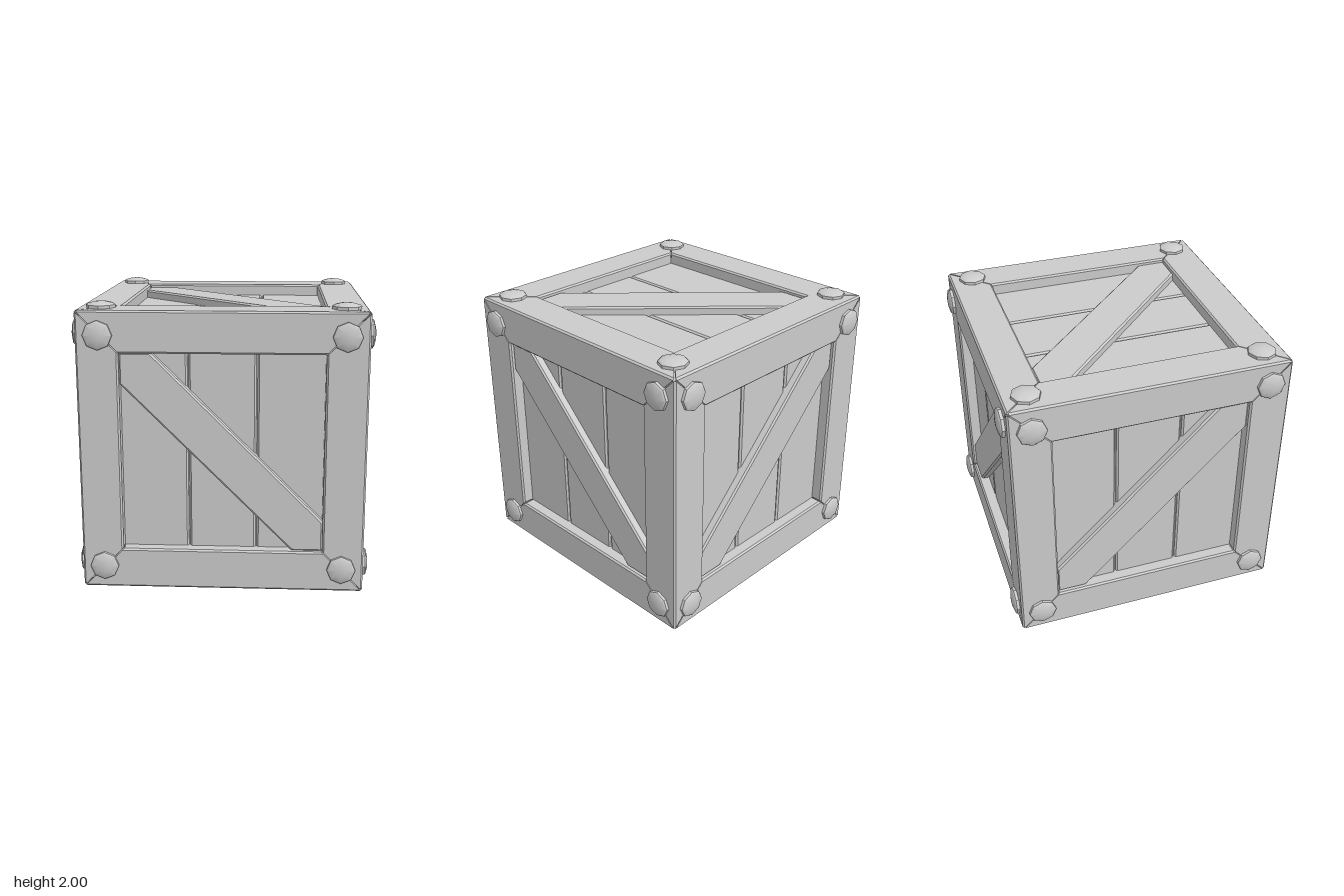
import * as THREE from 'three';
import { toCreasedNormals } from 'three/addons/utils/BufferGeometryUtils.js';

const H = 0.957;      // half size of the crate over its frame
const INNER = 0.677;  // half size of the opening in each face
const PANEL = 0.873;  // distance of the planks from the centre
const CORE = 0.853;   // bottom of the grooves between planks
const B = 0.012;      // edge chamfer

const material = new THREE.MeshStandardMaterial({ color: 0xcccccc });

function add(parent, name, geometry) {
  const mesh = new THREE.Mesh(geometry, material);
  mesh.name = name;
  parent.add(mesh);
  return mesh;
}

const outline = (points) => new THREE.Shape(points.map(([x, y]) => new THREE.Vector2(x, y)));

// Flat board with chamfered edges, lying between two heights in z
function board(points, z0, z1) {
  const g = new THREE.ExtrudeGeometry(outline(points), {
    depth: z1 - z0 - 2 * B, bevelEnabled: true, bevelSegments: 1,
    bevelSize: B, bevelThickness: B, bevelOffset: -B,
  });
  return g.translate(0, 0, z0 + B);
}

// L-shaped edge beam along z, with both ends cut to a three-way mitre
function beamGeometry() {
  const d = CORE - 0.01;
  const g = new THREE.ExtrudeGeometry(outline([
    [INNER, d], [d, d], [d, INNER], [H - B, INNER], [H, INNER + B],
    [H, H - B], [H - B, H], [INNER + B, H], [INNER, H - B],
  ]), { depth: 1, bevelEnabled: false });
  const p = g.attributes.position;
  for (let i = 0; i < p.count; i++) {
    const end = Math.min(p.getX(i), p.getY(i)) - 0.005;
    p.setZ(i, p.getZ(i) > 0.5 ? end : -end);
  }
  g.computeVertexNormals();
  return g;
}

// Eight-sided bolt head with a shallow domed cap, pointing along z
function boltGeometry() {
  const profile = [[0.097, 0.94], [0.097, 0.977], [0.088, 0.985], [0.045, 0.996], [0, 1]];
  const g = new THREE.LatheGeometry(profile.map(([r, y]) => new THREE.Vector2(r, y)), 8);
  return toCreasedNormals(g.rotateX(Math.PI / 2), 0.6);
}

export function createModel() {
  const model = new THREE.Group();
  model.name = 'crate';
  const crate = new THREE.Group();
  crate.name = 'crateBody';
  crate.position.y = 1;
  model.add(crate);

  // Solid core behind the planks
  add(crate, 'core', new THREE.BoxGeometry(2 * CORE, 2 * CORE, 2 * CORE));

  // Twelve edge beams: four along each axis
  const beam = beamGeometry();
  for (const [rx, ry] of [[0, 0], [Math.PI / 2, 0], [0, Math.PI / 2]]) {
    const set = new THREE.Group();
    set.name = 'edgeBeams';
    set.rotation.set(rx, ry, 0);
    for (let k = 0; k < 4; k++) add(set, 'edgeBeam', beam).rotation.z = k * Math.PI / 2;
    crate.add(set);
  }

  // Three planks, shared by all faces
  const cuts = [-0.7, -0.23, 0.227, 0.7];
  const gap = 0.004, e = 0.7;
  const planks = [0, 1, 2].map((i) => {
    const a = cuts[i] + gap, b = cuts[i + 1] - gap;
    return board([[a, -e], [b, -e], [b, e], [a, e]], CORE - 0.03, PANEL);
  });

  // Diagonal brace; m = -1 leans it the other way
  const c = INNER + 0.002, t = 0.47;
  const brace = (m) => {
    const pts = [[-c, c], [-c, t], [t, -c], [c, -c], [c, -t], [-t, c]];
    return board(pts.map(([x, y]) => [m * x, y]), PANEL - 0.03, 0.932);
  };
  const bolt = boltGeometry();

  // Six faces; opposite faces mirror each other
  const q = Math.PI / 2;
  const faces = [
    ['front', 0, 0, 1], ['back', 0, 2 * q, -1],
    ['left', 0, q, 1], ['right', 0, -q, -1],
    ['top', -q, 0, 1], ['bottom', q, 0, -1],
  ];
  for (const [name, rx, ry, m] of faces) {
    const face = new THREE.Group();
    face.name = name + 'Face';
    face.rotation.set(rx, ry, 0);
    planks.forEach((g) => add(face, 'plank', g));
    add(face, 'diagonalBrace', brace(m));
    for (const x of [-0.807, 0.807]) {
      for (const y of [-0.797, 0.797]) add(face, 'bolt', bolt).position.set(x, y, 0);
    }
    crate.add(face);
  }
  return model;
}
